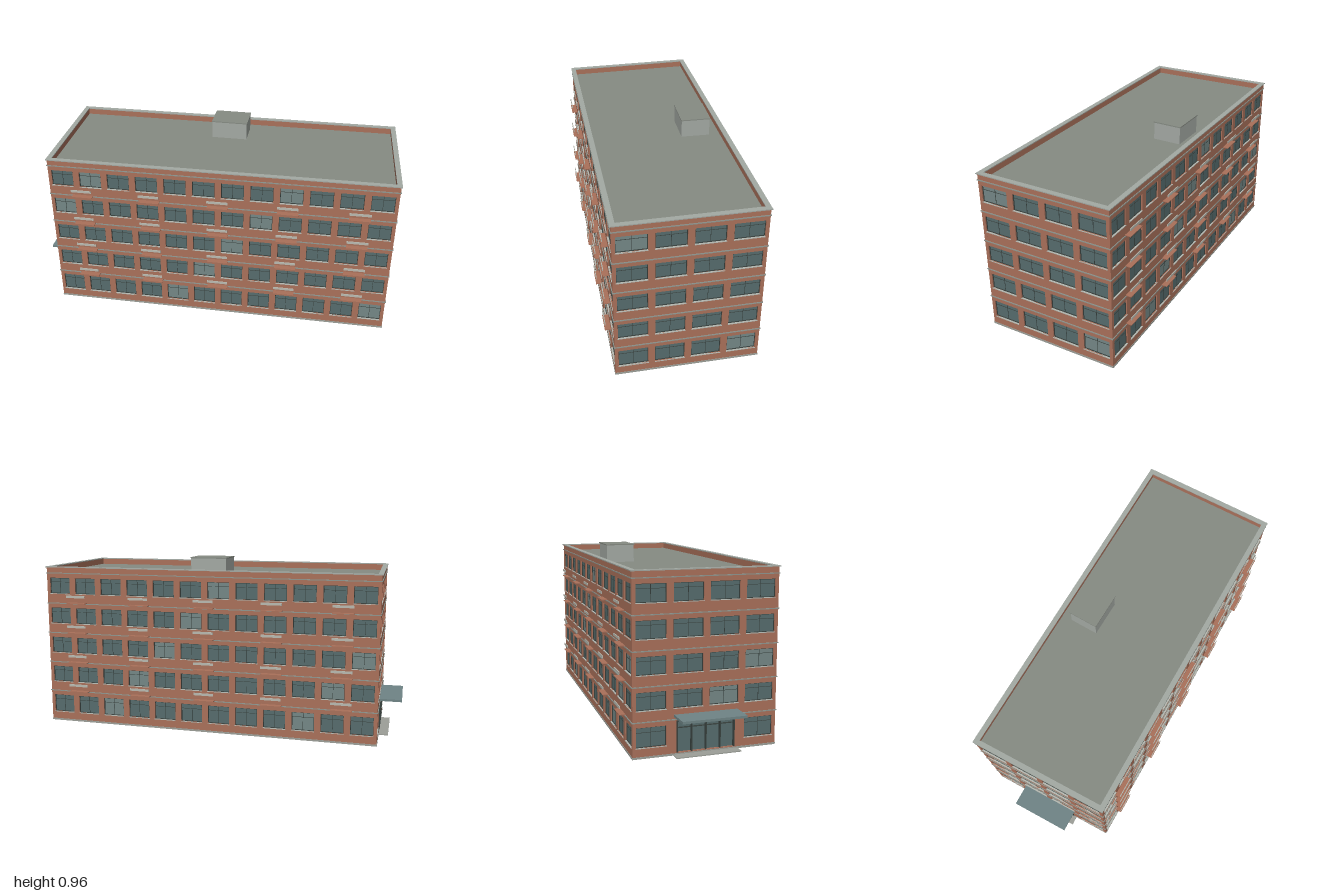
import * as THREE from 'three';

const mat = (color) => new THREE.MeshStandardMaterial({ color });
const M = {
  brick: mat(0xa9705a), trim: mat(0x8f968f), roof: mat(0x868b83), coping: mat(0xa3a9a3),
  glass: mat(0x566c6d), glassLit: mat(0x748786), frame: mat(0x39423f),
  sill: mat(0xb4b7b0), rail: mat(0xb9bab0), canopy: mat(0x6f8486), base: mat(0x9c9f98),
};

// Wall corners [x, z]: front right, front left, back left, back right as seen in plan
const FL = [-0.858, 0.381], FR = [0.992, 0.353], BR = [0.974, -0.382], BL = [-0.888, -0.356];
const CORNERS = [FL, FR, BR, BL];
const WALL_TOP = 0.889, DEPTH = 0.018, FLOORS = 5, PITCH = 0.1696;

function add(parent, name, geometry, material) {
  const mesh = new THREE.Mesh(geometry, material);
  mesh.name = name;
  parent.add(mesh);
  return mesh;
}

// Box given by its minimum corner and size
function box(parent, name, material, x, y, z, w, h, d) {
  const mesh = add(parent, name, new THREE.BoxGeometry(w, h, d), material);
  mesh.position.set(x + w / 2, y + h / 2, z + d / 2);
  return mesh;
}

// Footprint grown outward by e, as plan points (plan y is -z)
const outline = (e) => CORNERS.map(([x, z]) =>
  new THREE.Vector2(x + Math.sign(x) * e, -(z + Math.sign(z) * e)));

// Horizontal plate, or a ring when an inner offset is given
function plate(parent, name, material, y, h, outer, inner) {
  const shape = new THREE.Shape(outline(outer));
  if (inner !== undefined) shape.holes.push(new THREE.Path(outline(inner).reverse()));
  const geo = new THREE.ExtrudeGeometry(shape, { depth: h, bevelEnabled: false });
  geo.rotateX(-Math.PI / 2);
  add(parent, name, geo, material).position.y = y;
}

function rectPath(x, y, w, h) {
  return new THREE.Path([[x, y], [x, y + h], [x + w, y + h], [x + w, y]]
    .map(([a, b]) => new THREE.Vector2(a, b)));
}

// Recessed glazing with frame, centre mullion, transom and sill
function makeWindow(parent, x, y, w, h, lit) {
  const g = new THREE.Group();
  g.name = 'window';
  g.position.set(x, y, 0);
  parent.add(g);
  const t = 0.003, zf = -0.011, d = 0.005;
  box(g, 'glass', lit ? M.glassLit : M.glass, 0, 0, -0.014, w, h, 0.004);
  for (const px of [0, w - t]) box(g, 'frameSide', M.frame, px, 0, zf, t, h, d);
  for (const py of [0, h - t]) box(g, 'frameRail', M.frame, t, py, zf, w - 2 * t, t, d);
  box(g, 'mullion', M.frame, w / 2 - 0.001, t, zf, 0.002, h - 2 * t, 0.003);
  box(g, 'transom', M.frame, t, h * 0.72, zf, w - 2 * t, 0.002, 0.003);
  box(g, 'sill', M.sill, -0.002, -0.003, -0.008, w + 0.004, 0.003, 0.011);
}

// Slim slab with a floating front rail
function makeBalcony(parent, x, y) {
  const g = new THREE.Group();
  g.name = 'balcony';
  g.position.set(x, y, 0);
  parent.add(g);
  box(g, 'balconySlab', M.brick, -0.056, 0, 0, 0.112, 0.004, 0.031);
  box(g, 'balconyRail', M.rail, -0.056, 0.033, 0.027, 0.112, 0.013, 0.004);
}

// Glazed doors, canopy and doorstep, centred at x
function makeEntrance(parent, x, w, y0, h) {
  const g = new THREE.Group();
  g.name = 'entrance';
  g.position.x = x;
  parent.add(g);
  box(g, 'doorGlass', M.glass, -w / 2, y0, -0.014, w, h, 0.004);
  for (let i = 0; i <= 4; i++)
    box(g, 'doorPost', M.frame, -w / 2 + i * (w - 0.006) / 4, y0, -0.01, 0.006, h, 0.014);
  box(g, 'doorHead', M.frame, -w / 2, y0 + h - 0.006, -0.01, w, 0.006, 0.013);
  box(g, 'doorTransom', M.frame, -w / 2, y0 + h * 0.75, -0.01, w, 0.004, 0.008);
  box(g, 'canopy', M.canopy, -0.163, 0.19, 0, 0.326, 0.012, 0.119);
  box(g, 'doorstep', M.base, -0.166, 0, 0, 0.332, 0.005, 0.052);
}

// One facade from corner a to corner b; local +z points outward
function makeFacade(name, a, b, k, bays, balconies, entrance) {
  const g = new THREE.Group();
  g.name = name;
  const dx = b[0] - a[0], dz = b[1] - a[1], len = Math.hypot(dx, dz);
  g.position.set(a[0], 0, a[1]);
  g.rotation.y = Math.atan2(-dz, dx);

  const wall = new THREE.Shape([[0, 0.01], [len, 0.01], [len, WALL_TOP], [0, WALL_TOP]]
    .map(([x, y]) => new THREE.Vector2(x, y)));
  const bay = len / bays, w = bay - 0.034;
  for (let f = 0; f < FLOORS; f++) {
    const y = f ? 0.2335 + (f - 1) * PITCH : 0.053, h = f ? 0.0885 : 0.099;
    for (let i = 0; i < bays; i++) {
      if (entrance && f === 0 && (i === 1 || i === 2)) continue;
      const x = i * bay + 0.017;
      wall.holes.push(rectPath(x, y, w, h));
      makeWindow(g, x, y, w, h, (i - f + k + 7) % 7 === 4);
    }
    if (f) for (let j = 0; j < balconies; j++)
      makeBalcony(g, (j + 0.5) * len / balconies, 0.1805 + (f - 1) * PITCH);
  }
  if (entrance) {
    wall.holes.push(rectPath(len / 2 - 0.15, 0.014, 0.3, 0.158));
    makeEntrance(g, len / 2, 0.3, 0.014, 0.158);
  }
  const geo = new THREE.ExtrudeGeometry(wall, { depth: DEPTH, bevelEnabled: false });
  geo.translate(0, 0, -DEPTH);
  add(g, 'brickWall', geo, M.brick);
  return g;
}

export function createModel() {
  const model = new THREE.Group();
  model.name = 'officeBlock';

  // Four walls
  model.add(makeFacade('frontFacade', FL, FR, 0, 12, 5, false));
  model.add(makeFacade('leftFacade', FR, BR, 1, 4, 0, false));
  model.add(makeFacade('backFacade', BR, BL, 2, 12, 5, false));
  model.add(makeFacade('entranceFacade', BL, FL, 3, 4, 0, true));

  // Plinth, floor bands and parapet
  plate(model, 'plinth', M.base, 0, 0.01, 0.002);
  for (let f = 0; f < FLOORS - 1; f++)
    plate(model, 'floorBand', M.trim, 0.1755 + f * PITCH, 0.005, 0.004, -0.005);
  plate(model, 'parapetBand', M.trim, 0.855, 0.005, 0.004, -0.005);
  plate(model, 'roofDeck', M.roof, 0.85, 0.006, -0.01);
  plate(model, 'coping', M.coping, WALL_TOP, 0.005, 0.006, -0.021);

  // Rooftop housing
  const housing = new THREE.Group();
  housing.name = 'roofHousing';
  model.add(housing);
  box(housing, 'housingWalls', M.coping, -0.056, 0.855, -0.293, 0.197, 0.095, 0.154);
  box(housing, 'housingCap', M.roof, -0.059, 0.95, -0.297, 0.203, 0.006, 0.161);
  return model;
}
